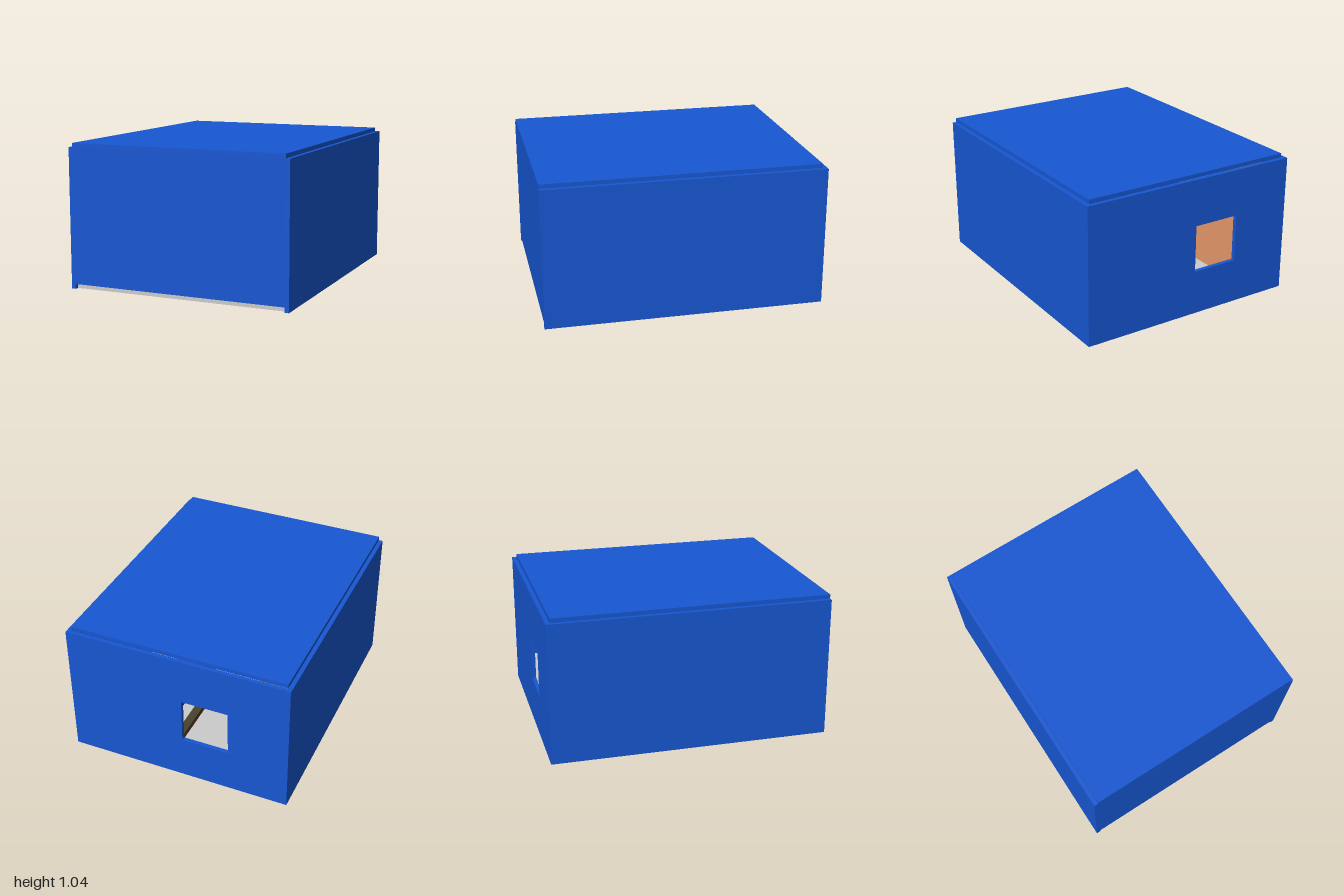
import * as THREE from 'three';

const mat = (color) => new THREE.MeshStandardMaterial({ color });
const blue = mat(0x1757d2), grey = mat(0xcccccc), brown = mat(0x5e3a1e);
const olive = mat(0x85805a), orange = mat(0xe89a6a), purple = mat(0x4a35b0);

// Box given by its min and max corner on each axis
function box(name, material, [x0, x1], [y0, y1], [z0, z1]) {
  const mesh = new THREE.Mesh(new THREE.BoxGeometry(x1 - x0, y1 - y0, z1 - z0), material);
  mesh.position.set((x0 + x1) / 2, (y0 + y1) / 2, (z0 + z1) / 2);
  mesh.name = name;
  return mesh;
}

// Back wall with a square window opening
function backWall() {
  const shape = new THREE.Shape();
  shape.moveTo(-0.825, 0).lineTo(0.825, 0).lineTo(0.825, 1.01).lineTo(-0.825, 1.01).closePath();
  const hole = new THREE.Path();
  hole.moveTo(-0.385, 0.325).lineTo(-0.385, 0.67).lineTo(-0.04, 0.67).lineTo(-0.04, 0.325).closePath();
  shape.holes.push(hole);
  const mesh = new THREE.Mesh(new THREE.ExtrudeGeometry(shape, { depth: 0.03, bevelEnabled: false }), blue);
  mesh.position.z = -1;
  mesh.name = 'backWall';
  return mesh;
}

// Bed along the left wall: dark base, mattress, pale cover and tray
function bed() {
  const group = new THREE.Group();
  group.name = 'bed';
  group.add(
    box('bedBase', brown, [0.1, 0.78], [0.036, 0.08], [-0.95, -0.25]),
    box('mattress', olive, [0.1, 0.78], [0.08, 0.195], [-0.95, -0.25]),
    box('bedCover', grey, [0.1, 0.78], [0.195, 0.2], [-0.95, -0.25]),
    box('tray', brown, [0.18, 0.32], [0.2, 0.22], [-0.62, -0.46]),
  );
  return group;
}

export function createModel() {
  const model = new THREE.Group();
  model.name = 'room';

  // Shell
  for (const s of [-1, 1]) {
    const xs = s < 0 ? [-0.825, -0.793] : [0.793, 0.825];
    model.add(box(s < 0 ? 'rightWall' : 'leftWall', blue, xs, [0, 1.01], [-0.97, 1]));
  }
  model.add(
    backWall(),
    box('frontWall', blue, [-0.793, 0.793], [0.035, 1.01], [0.968, 1]),
    box('roof', blue, [-0.795, 0.795], [1.01, 1.04], [-0.968, 1]),
    box('floor', grey, [-0.793, 0.793], [0, 0.035], [-0.97, 0.97]),
  );

  // Furniture seen through the window
  model.add(
    bed(),
    box('wardrobe', orange, [-0.79, -0.55], [0.036, 0.92], [-0.85, -0.1]),
    box('stool', purple, [0.22, 0.46], [0.036, 0.2], [-0.05, 0.2]),
  );
  return model;
}
